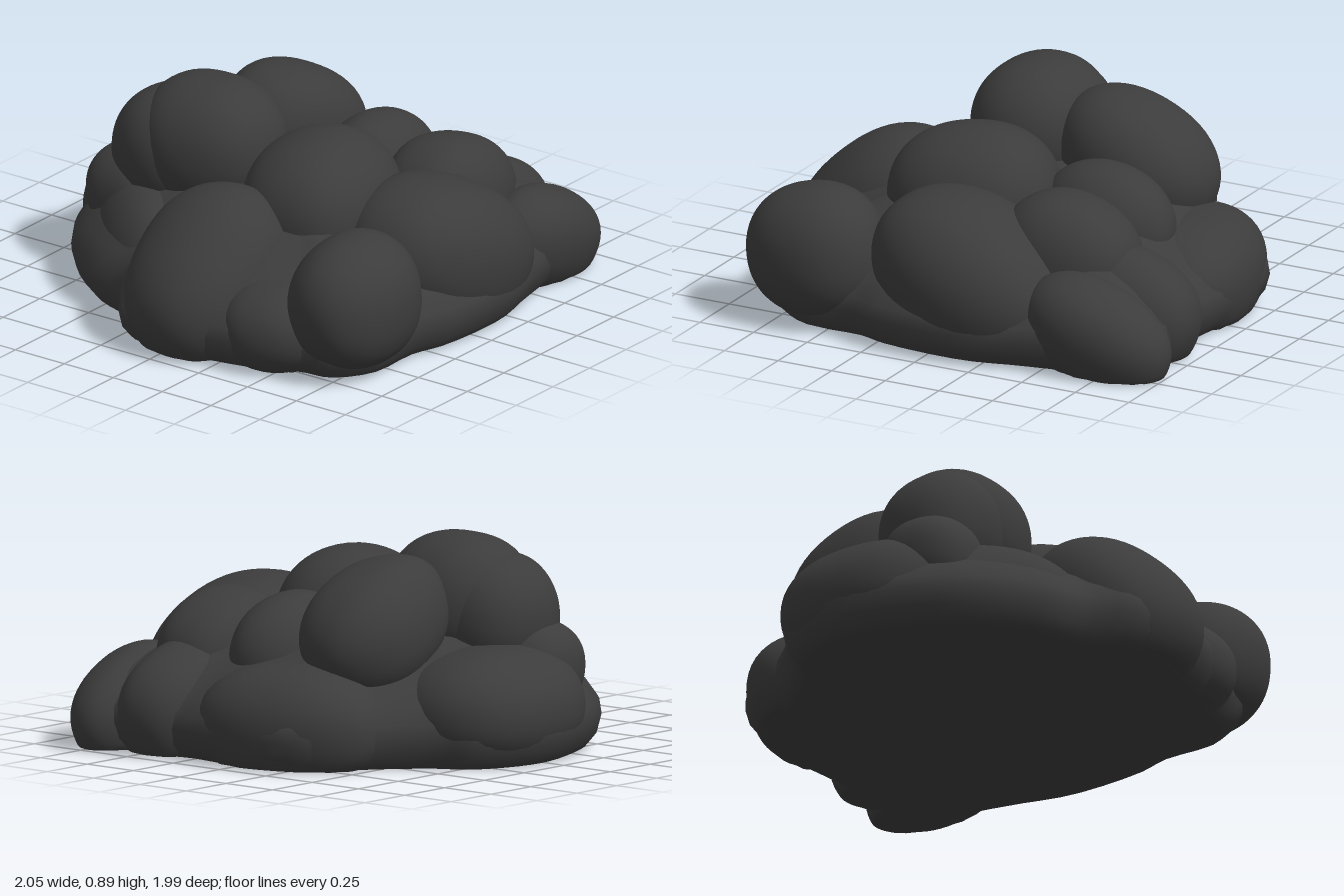
import * as THREE from 'three';
import { mergeVertices } from 'three/addons/utils/BufferGeometryUtils.js';

const FLOOR = 0.01;

// Rounded, slightly squarish boulder, cut flat where it meets the floor
function boulderGeometry([cx, cy, cz], [rx, ry, rz], [ax, ay, az], seed) {
  const raw = new THREE.IcosahedronGeometry(1, 10);
  raw.deleteAttribute('normal');
  raw.deleteAttribute('uv');
  const geo = mergeVertices(raw, 1e-4);
  const pos = geo.attributes.position;
  const turn = new THREE.Euler(ax, ay, az);
  const v = new THREE.Vector3();
  const n = 2.2;
  for (let i = 0; i < pos.count; i++) {
    v.fromBufferAttribute(pos, i).normalize();
    const square = (Math.abs(v.x) ** n + Math.abs(v.y) ** n + Math.abs(v.z) ** n) ** (-1 / n);
    const wobble = 1 + 0.012 * Math.sin(4 * v.x + seed) + 0.012 * Math.sin(5 * v.z + 2 * v.y + seed * 2.3);
    v.multiplyScalar(square * wobble);
    v.set(v.x * rx, v.y * ry, v.z * rz).applyEuler(turn);
    pos.setXYZ(i, v.x + cx, Math.max(v.y + cy, FLOOR + 0.005), v.z + cz);
  }
  geo.computeVertexNormals();
  return geo;
}

// Low mound filling the gaps between boulders: one outline, scaled level by level
function moundGeometry() {
  const outline = [
    [-0.37, 0.91], [-0.2, 0.96], [0.18, 0.98], [0.45, 0.92], [0.7, 0.88], [0.86, 0.9],
    [0.96, 0.78], [0.96, 0.65], [0.98, 0.5], [0.95, 0.3], [0.96, 0.2], [0.98, 0],
    [0.93, -0.35], [0.68, -0.51], [0.46, -0.72], [0.38, -0.86], [0.2, -0.96], [0, -0.99],
    [-0.27, -0.92], [-0.5, -0.78], [-0.69, -0.55], [-0.78, -0.33], [-0.94, -0.2], [-0.98, 0],
    [-0.95, 0.25], [-0.92, 0.4], [-0.89, 0.5], [-0.82, 0.65], [-0.8, 0.78], [-0.64, 0.9],
  ].map(([x, z]) => new THREE.Vector3(x, 0, z));
  const ring = new THREE.CatmullRomCurve3(outline, true).getPoints(96).slice(0, 96);
  // [height, scale]
  const levels = [[0.01, 0], [0.01, 0.9], [0.025, 0.935], [0.07, 0.975], [0.14, 0.995],
    [0.2, 0.985], [0.27, 0.93], [0.34, 0.84], [0.42, 0.7], [0.5, 0.5], [0.54, 0.25], [0.55, 0]];
  const points = [], index = [], count = ring.length;
  for (const [y, s] of levels) for (const p of ring) points.push(p.x * s, y, p.z * s);
  for (let l = 0; l < levels.length - 1; l++) {
    for (let i = 0; i < count; i++) {
      const j = (i + 1) % count;
      const a = l * count + i, b = l * count + j, c = a + count, d = b + count;
      index.push(a, b, d, a, d, c);
    }
  }
  const geo = new THREE.BufferGeometry();
  geo.setAttribute('position', new THREE.Float32BufferAttribute(points, 3));
  geo.setIndex(index);
  geo.computeVertexNormals();
  return geo;
}

export function createModel() {
  const model = new THREE.Group();
  model.name = 'boulderPile';
  const stone = new THREE.MeshStandardMaterial({ color: 0x3c3c3c });
  stone.name = 'darkStone';

  const add = (name, geo) => {
    const mesh = new THREE.Mesh(geo, stone);
    mesh.name = name;
    model.add(mesh);
  };

  add('baseMound', moundGeometry());

  // name, centre, radii, tilt
  const boulders = [
    // front row
    ['frontRightBoulder', [-0.59, 0.32, 0.74], [0.295, 0.28, 0.25], [0, 0, 0.1]],
    ['frontMiddleBoulder', [0.09, 0.3, 0.66], [0.46, 0.31, 0.325], [0.15, -0.12, -0.38]],
    ['frontLeftCorner', [0.7, 0.17, 0.73], [0.33, 0.22, 0.19], [0.2, 0, -0.38]],
    // right side
    ['rightBoulder', [-0.65, 0.28, 0.04], [0.4, 0.29, 0.315], [0, 0, 0.7]],
    ['rightLowBoulder', [-0.67, 0.17, 0.43], [0.26, 0.2, 0.25], [0, 0, 0]],
    ['backRightSlope', [-0.38, 0.17, -0.46], [0.42, 0.28, 0.22], [0, 0.87, 0]],
    // left side
    ['leftLowBoulder', [0.71, 0.19, 0.45], [0.3, 0.26, 0.215], [0, 0, -0.35]],
    ['leftLongBoulder', [0.68, 0.17, -0.13], [0.29, 0.26, 0.41], [0, 0.25, -0.15]],
    ['leftMiddleBoulder', [0.42, 0.4, 0.11], [0.3, 0.26, 0.21], [0, 0, -0.25]],
    ['leftUpperBoulder', [0.43, 0.38, 0.46], [0.31, 0.265, 0.24], [0, 0, -0.2]],
    // back and crown
    ['backBoulder', [0.05, 0.22, -0.65], [0.41, 0.26, 0.345], [0, 0, 0]],
    ['centreBoulder', [-0.13, 0.47, 0.23], [0.36, 0.31, 0.315], [0, 0.2, 0]],
    ['crownBoulder', [-0.13, 0.61, -0.33], [0.285, 0.285, 0.31], [0, 0, 0]],
    ['crownBackBoulder', [-0.16, 0.56, -0.5], [0.255, 0.26, 0.245], [0, 0, 0]],
    ['crownUnderBoulder', [-0.22, 0.36, -0.65], [0.2, 0.2, 0.2], [0, 0, 0]],
    ['crownLeftBoulder', [0.35, 0.55, -0.28], [0.36, 0.255, 0.265], [0, 0, -0.5]],
  ];
  boulders.forEach(([name, centre, radii, tilt], i) =>
    add(name, boulderGeometry(centre, radii, tilt, i * 1.7)));

  return model;
}
